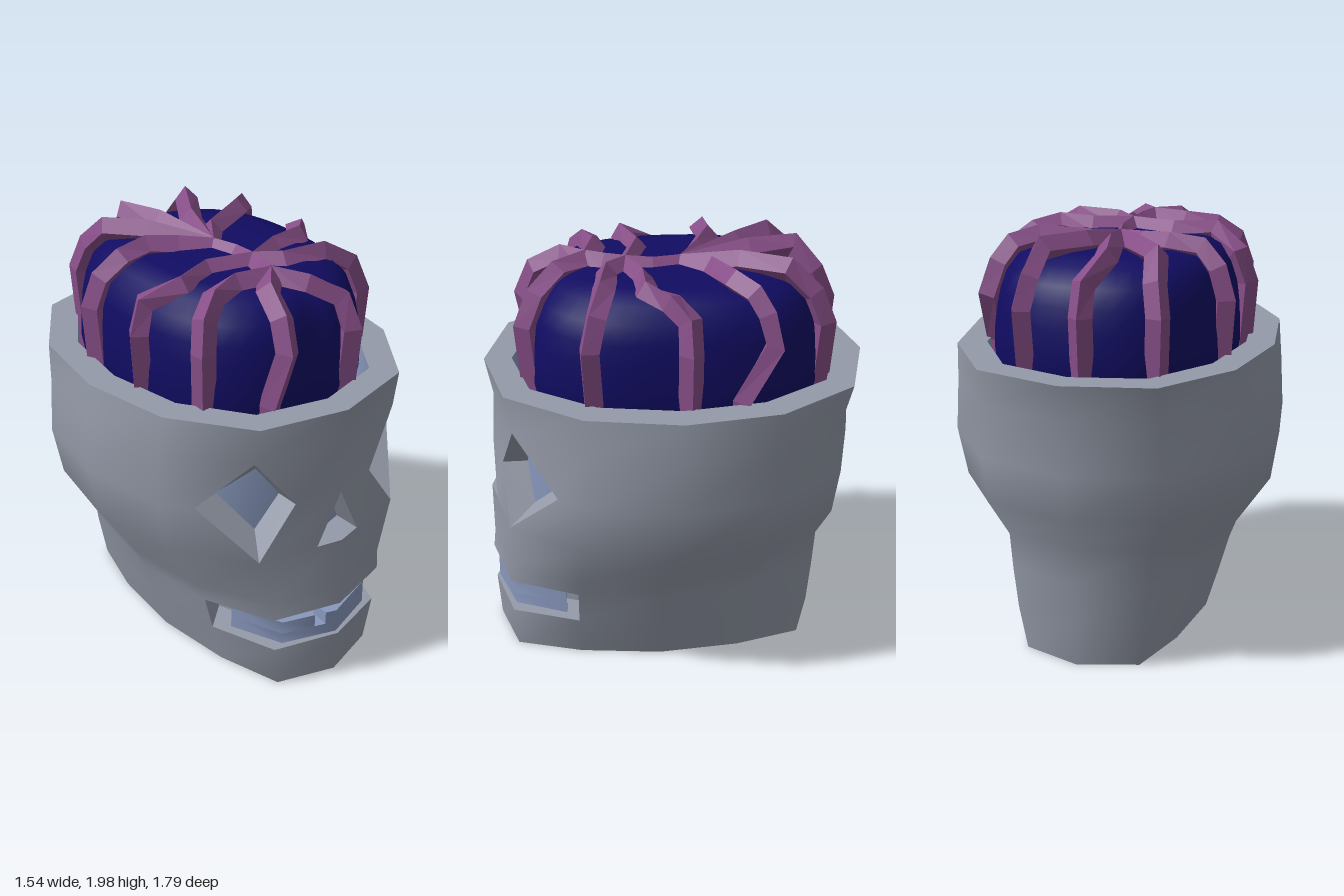
import * as THREE from 'three';
import { toCreasedNormals } from 'three/addons/utils/BufferGeometryUtils.js';

const V = (x, y, z) => new THREE.Vector3(x, y, z);
const mix = (a, b, t) => a.clone().lerp(b, t);
const bone = new THREE.MeshStandardMaterial({ color: 0x949aa8, side: THREE.DoubleSide });
const paleBlue = new THREE.MeshStandardMaterial({ color: 0x8999be, side: THREE.DoubleSide });
const darkBlue = new THREE.MeshStandardMaterial({ color: 0x110c62 });
const purple = new THREE.MeshStandardMaterial({ color: 0x864e87, side: THREE.DoubleSide, flatShading: true });

// Collects polygons as triangle fans, optionally mirrored in x
class Faces {
  data = [];
  add(...p) {
    for (let i = 1; i < p.length - 1; i++)
      for (const v of [p[0], p[i], p[i + 1]]) this.data.push(v.x, v.y, v.z);
  }
  pair(...p) {
    this.add(...p);
    this.add(...p.map(v => V(-v.x, v.y, v.z)).reverse());
  }
  mesh(name, material, crease) {
    let g = new THREE.BufferGeometry();
    g.setAttribute('position', new THREE.Float32BufferAttribute(this.data, 3));
    g.computeVertexNormals();
    if (crease) g = toCreasedNormals(g, crease);
    const m = new THREE.Mesh(g, material);
    m.name = name;
    return m;
  }
}

// Corner i of a twelve-sided oval; w sets how far out the corners beside front and back sit
const oval = (i, y, rx, rz, cz = 0, w = 0.56) => {
  const xs = [0, w, 0.9, 1, 0.9, w, 0], zs = [1, 0.885, 0.49, 0, -0.49, -0.885, -1];
  const k = (i + 12) % 12, h = k > 6 ? 12 - k : k;
  return V((k > 6 ? -1 : 1) * rx * xs[h], y, cz + rz * zs[h]);
};

// Head rings: height, half width, front z, back z, corner width, lift at the back
const RINGS = [
  [0, 0.41, 0.88, -0.69, 0.68, 0], [0.22, 0.475, 0.895, -0.71, 0.66, 0], [0.4, 0.525, 0.9, -0.725, 0.63, 0.03],
  [0.49, 0.56, 0.89, -0.745, 0.6, 0.13], [0.75, 0.73, 0.89, -0.815, 0.56, 0.03], [1.0, 0.77, 0.87, -0.845, 0.55, 0],
  [1.25, 0.755, 0.855, -0.835, 0.55, 0], [1.43, 0.735, 0.89, -0.89, 0.56, 0],
];
const P = (i, j) => {
  const [y, rx, f, b, w, lift] = RINGS[j];
  const p = oval(i, y, rx, (f - b) / 2, (f + b) / 2, w);
  p.y += lift * Math.max(0, p.z / b);
  return p;
};
const inner = (i, y) => oval(i, y, 0.6, 0.76);

function buildSkull() {
  const s = new Faces(), hollows = new Faces();
  // Corners of the eye and nose openings lie on ring edges
  const eyeIn = mix(P(0, 5), P(1, 5), 0.53), eyeOut = mix(P(1, 5), P(2, 5), 0.62);
  const noseSide = mix(P(0, 4), P(1, 4), 0.3);
  const special = {
    '0,1': null, '1,1': null,
    '0,4': [noseSide, P(1, 4), eyeIn, P(0, 5)],
    '0,5': [P(0, 5), eyeIn, P(1, 6), P(0, 6)],
    '1,4': [P(1, 4), P(2, 4), P(2, 5), eyeOut],
    '1,5': [eyeOut, P(2, 5), P(2, 6), P(1, 6)],
  };
  for (let i = 0; i < 6; i++) {
    for (let j = 0; j < 7; j++) {
      const c = special[`${i},${j}`];
      if (c !== null) s.pair(...(c || [P(i, j), P(i + 1, j), P(i + 1, j + 1), P(i, j + 1)]));
    }
    s.pair(P(i, 7), P(i + 1, 7), inner(i + 1, 1.43), inner(i, 1.43)); // rim
    s.pair(V(0, 0, 0.1), P(i + 1, 0), P(i, 0)); // base
  }
  // Eye socket walls
  const outer = [P(1, 6), eyeIn, P(1, 4), eyeOut];
  const deep = [inner(1, 1.16), mix(inner(0, 1), inner(1, 1), 0.66), inner(1, 0.84), mix(inner(1, 1), inner(2, 1), 0.5)];
  outer.forEach((p, k) => hollows.pair(p, outer[(k + 1) % 4], deep[(k + 1) % 4], deep[k]));
  // Nose walls
  const noseDeep = mix(inner(0, 0.75), inner(1, 0.75), 0.36);
  hollows.pair(P(0, 5), noseSide, noseDeep, inner(0, 1));
  hollows.pair(noseSide, P(0, 4), inner(0, 0.75), noseDeep);
  // Mouth cavity
  const M = (i, y) => oval(i, y, 0.34, 0.58, 0.1, 0.63);
  for (let i = 0; i < 2; i++) {
    hollows.pair(P(i, 2), P(i + 1, 2), M(i + 1, 0.385), M(i, 0.385));
    hollows.pair(P(i + 1, 1), P(i, 1), M(i, 0.225), M(i + 1, 0.225));
    hollows.pair(M(i, 0.225), M(i + 1, 0.225), M(i + 1, 0.385), M(i, 0.385));
  }
  hollows.pair(P(2, 1), P(2, 2), M(2, 0.385), M(2, 0.225));
  return [s.mesh('skull', bone, 1), hollows.mesh('eyeNoseAndMouthWalls', bone, 0.3)];
}

function buildLining() {
  const s = new Faces();
  for (let i = 0; i < 12; i++) s.add(inner(i, 0.72), inner(i + 1, 0.72), inner(i + 1, 1.43), inner(i, 1.43));
  return s.mesh('skullLining', paleBlue, 1);
}

// Curved bar of teeth between two positions a and b, counted in oval corners
function toothBar(name, a, b, rx, rz, y0, y1) {
  const stops = [a, ...[-1, 0, 1].filter(i => i > a && i < b), b];
  const pts = stops.map(t => {
    const i = Math.floor(t);
    return mix(oval(i, 0, rx, rz, 0.1, 0.6), oval(i + 1, 0, rx, rz, 0.1, 0.6), t - i);
  });
  const zEnd = Math.min(...pts.map(p => p.z));
  const front = pts.map(p => new THREE.Vector2(p.x, -p.z));
  const rear = pts.map(p => new THREE.Vector2(p.x * 0.8, -zEnd - (p.z - zEnd) * 0.7)).reverse();
  const g = new THREE.ExtrudeGeometry(new THREE.Shape([...front, ...rear]), { depth: y1 - y0, bevelEnabled: false });
  g.rotateX(-Math.PI / 2).translate(0, y0, 0);
  const m = new THREE.Mesh(toCreasedNormals(g, 1), paleBlue);
  m.name = name;
  return m;
}

// Brain dome: squarish oval plan, flat top with rounded shoulders
const planRadius = (x, z) => Math.pow(Math.abs(x / 0.56) ** 2.5 + Math.abs(z / 0.7) ** 2.5, 0.4);
const dome = u => Math.sqrt(Math.max(0, 1 - u ** 9));

function buildBrain() {
  const N = 48, us = [0.8, 0.97, 1, 0.995, 0.98, 0.95, 0.9, 0.8, 0.6, 0.3, 0];
  const pos = [], idx = [];
  us.forEach((u, r) => {
    for (let k = 0; k < N; k++) {
      const a = k / N * Math.PI * 2, x = Math.sin(a), z = Math.cos(a);
      const cleft = k === 0 ? 1 - 0.08 * u ** 3 : 1; // groove between the two front lobes
      const f = 0.985 * u * cleft / planRadius(x, z);
      pos.push(x * f, r === 0 ? 0.9 : r === 1 ? 1.3 : 1.41 + 0.48 * dome(u), z * f);
      if (r < us.length - 1) {
        const a0 = r * N + k, b0 = r * N + (k + 1) % N;
        idx.push(a0, b0, b0 + N, a0, b0 + N, a0 + N);
      }
    }
  });
  const g = new THREE.BufferGeometry();
  g.setAttribute('position', new THREE.Float32BufferAttribute(pos, 3));
  g.setIndex(idx);
  g.computeVertexNormals();
  const m = new THREE.Mesh(g, darkBlue);
  m.name = 'brain';
  return m;
}

// Ridged vein draped over the dome along a plan path, its leg dropping to a foot inside the rim
function buildVein(path, foot = path[path.length - 1]) {
  const pts = path.map(([x, z]) => {
    const u = planRadius(x, z);
    return V(x, 1.41 + 0.49 * dome(u) - 0.05 * Math.max(0, 0.8 - u) + 0.09 * Math.max(0, -z), z);
  });
  if (foot) {
    const at = ([x, z], k, y) => V(x * k / planRadius(x, z), y, z * k / planRadius(x, z));
    const end = path[path.length - 1];
    pts.splice(-1, 1, at(end, 0.92, 1.81), at(end, 1, 1.68), at(foot, 0.97, 1.43), at(foot, 0.95, 1.2));
  }
  const rings = pts.map((p, i) => {
    const t = pts[Math.min(i + 1, pts.length - 1)].clone().sub(pts[Math.max(i - 1, 0)]).normalize();
    const w = Math.min(1, planRadius(p.x, p.z)) ** 6 * 4;
    const out = V(p.x * w, p.y < 1.6 ? 0 : 0.6, p.z * w).normalize();
    const side = t.clone().cross(out).normalize();
    out.copy(side).cross(t).normalize();
    return [[0, -0.06], [0.055, 0], [0, 0.06], [-0.055, 0]].map(([a, b]) =>
      p.clone().addScaledVector(side, a).addScaledVector(out, b));
  });
  const s = new Faces();
  for (let i = 0; i < rings.length - 1; i++)
    for (let k = 0; k < 4; k++) {
      const n = (k + 1) % 4;
      s.add(rings[i][n], rings[i][k], rings[i + 1][k], rings[i + 1][n]);
    }
  return s.mesh('vein', purple);
}

export function createModel() {
  const model = new THREE.Group();
  model.name = 'skullWithBrain';
  model.add(...buildSkull(), buildLining(), buildBrain());

  // Lower row has a small notch right of centre
  const teeth = new THREE.Group();
  teeth.name = 'teeth';
  teeth.add(
    toothBar('lowerTeeth', -1.8, 1.8, 0.43, 0.78, 0.225, 0.28),
    toothBar('lowerTeethLeft', -0.2, 1.8, 0.43, 0.78, 0.28, 0.345),
    toothBar('lowerTeethRight', -1.8, -0.4, 0.43, 0.78, 0.28, 0.345),
    toothBar('upperTeeth', -1.6, 1.6, 0.34, 0.66, 0.345, 0.385));
  model.add(teeth);

  // Veins branch from three hubs along the middle
  const back = [0, -0.03], mid = [0.02, 0.22], front = [-0.03, 0.4];
  const veins = new THREE.Group();
  veins.name = 'veins';
  veins.add(buildVein([back, [0.03, 0.1], mid, [0, 0.32], front], null));
  for (const [path, foot] of [
    [[back, [-0.17, -0.3], [-0.3, -0.45], [-0.36, -0.61]]],
    [[back, [-0.06, -0.35], [-0.11, -0.56], [-0.04, -0.73]]],
    [[back, [0.08, -0.3], [0.21, -0.5], [0.26, -0.69]]],
    [[back, [0.1, -0.17], [0.32, -0.25], [0.41, -0.33], [0.52, -0.43]], [0.56, -0.29]],
    [[back, [-0.14, -0.12], [-0.28, -0.18], [-0.42, -0.16], [-0.54, -0.21]]],
    [[mid, [0.2, 0.15], [0.36, 0.14], [0.44, 0.04], [0.58, -0.04]]],
    [[mid, [-0.2, 0.16], [-0.38, 0.22], [-0.56, 0.14]]],
    [[mid, [0.12, 0.31], [0.33, 0.33], [0.5, 0.4]]],
    [[front, [-0.2, 0.36], [-0.34, 0.39], [-0.46, 0.47]]],
    [[front, [-0.13, 0.5], [-0.18, 0.69]], [-0.24, 0.66]],
    [[front, [0.07, 0.53], [0.2, 0.68]], [0.2, 0.68]],
  ]) veins.add(buildVein(path, foot));
  model.add(veins);
  return model;
}
